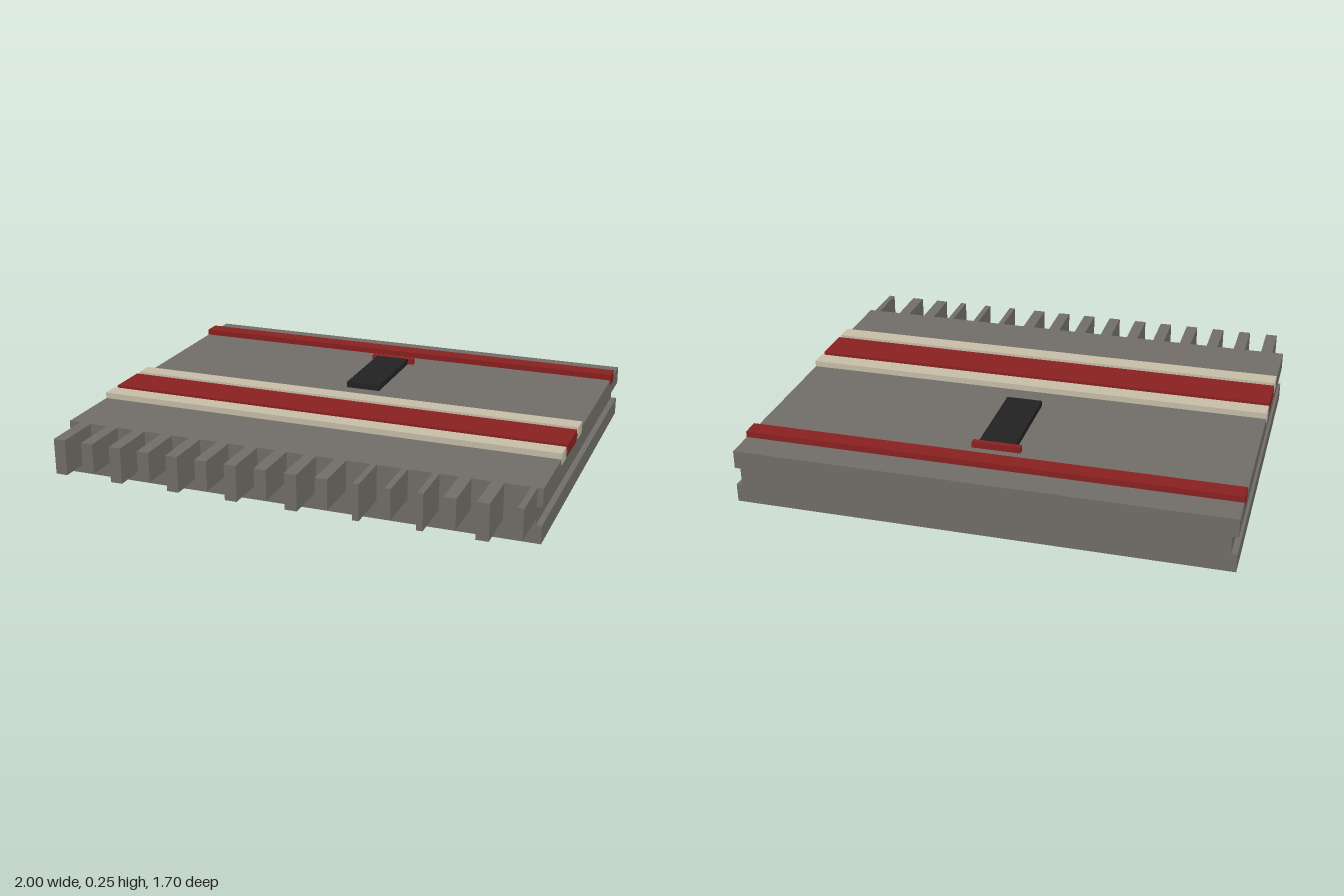
import * as THREE from 'three';

function material(name, color) {
  const m = new THREE.MeshStandardMaterial({ color });
  m.name = name;
  return m;
}

export function createModel() {
  const model = new THREE.Group();
  model.name = 'cartridge';
  const grey = material('warmGrey', 0x726f69);
  const red = material('darkRed', 0x8b2020);
  const cream = material('cream', 0xc8bfa9);
  const black = material('black', 0x222222);

  // Box given by its extents along each axis
  function box(name, mat, [x0, x1], [y0, y1], [z0, z1]) {
    const mesh = new THREE.Mesh(new THREE.BoxGeometry(x1 - x0, y1 - y0, z1 - z0), mat);
    mesh.position.set((x0 + x1) / 2, (y0 + y1) / 2, (z0 + z1) / 2);
    mesh.name = name;
    model.add(mesh);
  }

  // Slab with a guide groove along both sides
  const w = 0.999, g = 0.975;
  const profile = new THREE.Shape([
    [-w, 0], [w, 0], [w, 0.075], [g, 0.075], [g, 0.15], [w, 0.15], [w, 0.225],
    [-w, 0.225], [-w, 0.15], [-g, 0.15], [-g, 0.075], [-w, 0.075],
  ].map(([x, y]) => new THREE.Vector2(x, y)));
  const body = new THREE.Mesh(
    new THREE.ExtrudeGeometry(profile, { depth: 1.5, bevelEnabled: false }), grey);
  body.position.z = -0.85;
  body.name = 'body';
  model.add(body);

  // Comb of connector teeth, alternately deep and shallow, some narrow
  const narrow = [10, 11, 12, 15];
  for (let i = 0; i < 16; i++) {
    const right = -0.9 + i * 0.125;
    const width = narrow.includes(i) ? 0.025 : 0.05;
    box('tooth', grey, [right - width, right], [i % 2 ? 0.1 : 0.075, 0.225], [0.65, 0.85]);
  }

  // Raised stripes, let into the top
  const full = [-1, 1], raised = [0.2, 0.25];
  box('frontCreamStripe', cream, full, raised, [0.275, 0.35]);
  box('wideRedStripe', red, full, raised, [0.075, 0.25]);
  box('rearCreamStripe', cream, full, raised, [-0.025, 0.05]);
  box('rearRedStripe', red, full, raised, [-0.725, -0.65]);

  // Black tab with a red end bar
  box('tab', black, [-0.075, 0.075], [0.22, 0.25], [-0.55, -0.15]);
  box('tabEndBar', red, [-0.1, 0.1], [0.22, 0.25], [-0.575, -0.55]);
  return model;
}
